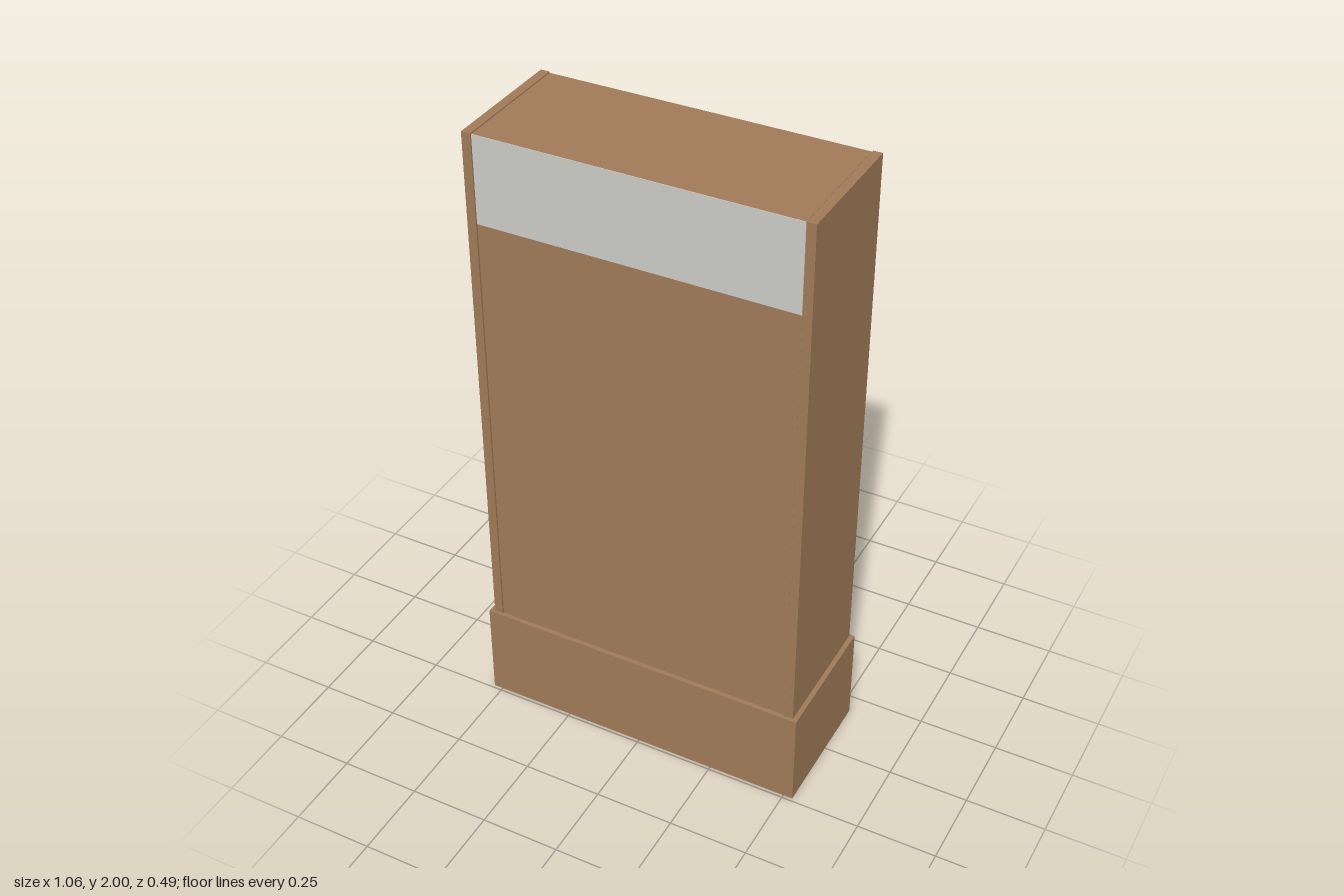
import * as THREE from 'three';

const wood = new THREE.MeshStandardMaterial({ color: 0xa07a58 });
wood.name = 'wood';
const paleGrey = new THREE.MeshStandardMaterial({ color: 0xcbcbc6 });
paleGrey.name = 'paleGrey';
const darkMetal = new THREE.MeshStandardMaterial({ color: 0x45443c });
darkMetal.name = 'darkMetal';

export function createModel() {
  const root = new THREE.Group();
  root.name = 'bookcase';

  const add = (name, geometry, material) => {
    const mesh = new THREE.Mesh(geometry, material);
    mesh.name = name;
    root.add(mesh);
    return mesh;
  };
  // Box given by its low and high limits on each axis
  const box = (name, [x0, x1], [y0, y1], [z0, z1], material = wood) =>
    add(name, new THREE.BoxGeometry(x1 - x0, y1 - y0, z1 - z0), material)
      .position.set((x0 + x1) / 2, (y0 + y1) / 2, (z0 + z1) / 2);

  // Plinth and carcass
  box('base', [-0.53, 0.53], [0, 0.32], [-0.187, 0.24]);
  box('leftSide', [0.487, 0.515], [0.32, 2], [-0.18, 0.23]);
  box('rightSide', [-0.515, -0.487], [0.32, 2], [-0.18, 0.23]);
  box('backPanel', [-0.485, 0.485], [0.32, 1.72], [0.205, 0.226]);

  // Closed header with a pale panel behind and a sign plate on the open side
  box('header', [-0.485, 0.485], [1.72, 1.998], [-0.177, 0.226]);
  box('headerPanel', [-0.485, 0.485], [1.725, 1.998], [0.224, 0.228], paleGrey);
  box('signPlate', [-0.295, 0.295], [1.75, 1.975], [-0.184, -0.177], paleGrey);

  // Shelves
  for (const y of [0.735, 1.08, 1.417]) {
    box('shelf', [-0.487, 0.487], [y, y + 0.03], [-0.175, 0.206]);
  }

  // Knob profile, revolved and turned to point out of the open side
  const knobProfile = [[0, 0], [0.011, 0], [0.007, 0.009], [0.012, 0.013], [0.018, 0.018],
    [0.018, 0.023], [0.011, 0.028], [0, 0.03]].map(([r, h]) => new THREE.Vector2(r, h));
  const knobGeometry = new THREE.LatheGeometry(knobProfile, 16);
  knobGeometry.rotateX(-Math.PI / 2);

  // Bevelled door: the outer face of a box drawn in on all sides
  const bevelDoor = (w, h, d, inset) => {
    const g = new THREE.BoxGeometry(w, h, d).toNonIndexed();
    const p = g.attributes.position;
    for (let i = 0; i < p.count; i++) {
      if (p.getZ(i) < 0) {
        p.setX(i, p.getX(i) - Math.sign(p.getX(i)) * inset);
        p.setY(i, p.getY(i) - Math.sign(p.getY(i)) * inset);
      }
    }
    g.computeVertexNormals();
    return g;
  };

  for (const side of [-1, 1]) {
    const cx = side * 0.26;
    box('doorFrame', [cx - 0.245, cx + 0.245], [0.058, 0.298], [-0.191, -0.186]);
    add('doorPanel', bevelDoor(0.48, 0.23, 0.018, 0.032), wood).position.set(cx, 0.178, -0.199);
    add('knob', knobGeometry, darkMetal).position.set(cx, 0.177, -0.215);
    // Hinge barrels on the outer edge
    for (const y of [0.12, 0.23]) {
      add('hinge', new THREE.CylinderGeometry(0.005, 0.005, 0.035, 10), darkMetal)
        .position.set(side * 0.506, y, -0.19);
    }
  }
  return root;
}
